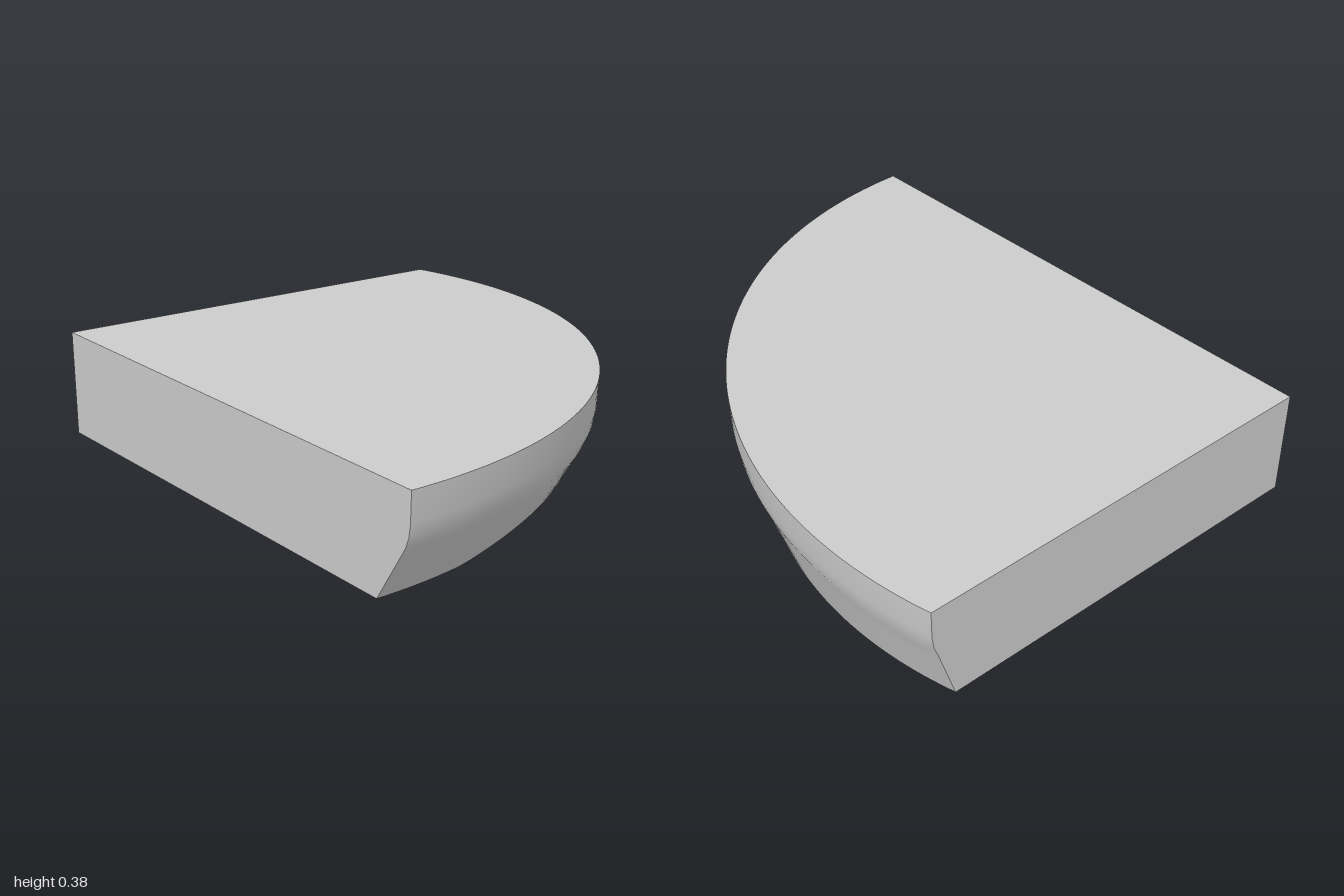
import * as THREE from 'three';
import { toCreasedNormals } from 'three/addons/utils/BufferGeometryUtils.js';

const CX = -0.81, CZ = -0.62; // centre of the rounded edge
const BACK = -1, TOP = 0.38, SEGMENTS = 72;

// Chord that cuts the underside, and the rise of the facet beyond it
const A = new THREE.Vector2(-0.43 - CX, 0.77 - CZ);
const B = new THREE.Vector2(0.64 - CX, -0.16 - CZ);
const normal = new THREE.Vector2(A.y - B.y, B.x - A.x).normalize();
const chord = normal.dot(A);
const FACET_SLOPE = 0.3;

// Radius and height pairs from the underside to the rim at one angle
function profile(angle) {
  const base = 1 / Math.hypot(Math.cos(angle) / 1.53, Math.sin(angle) / 1.46);
  const wallTop = 0.2, wallRadius = 1.597;
  const flare = (wallRadius - base) / wallTop;
  const facing = normal.x * Math.cos(angle) + normal.y * Math.sin(angle);
  const cut = facing > 0.1 ? chord / facing : Infinity;
  const inner = Math.min(base, cut);
  // Height where the facet plane meets the flared wall
  const k = FACET_SLOPE * facing;
  const y = cut < base ? (k * (base - cut)) / (1 - k * flare) : 0;
  return [
    [inner, 0],
    [base + flare * y, y],
    [base + flare * 0.14, 0.14],
    [wallRadius, wallTop],
    [1.612, 0.235],
    [1.62, 0.28],
    [1.625, TOP],
  ];
}

// One upright section: back corner, outer profile, back corner
function section(t) {
  const startAt = (r) => Math.asin((BACK - CZ) / r);
  const angleAt = (r) => THREE.MathUtils.lerp(startAt(r), Math.PI / 2, t);
  const points = profile(angleAt(1.53)).map(([r, y]) => {
    const a = angleAt(r);
    return new THREE.Vector3(CX + r * Math.cos(a), y, CZ + r * Math.sin(a));
  });
  return [new THREE.Vector3(CX, 0, BACK), ...points, new THREE.Vector3(CX, TOP, BACK)];
}

function wedgeGeometry() {
  const positions = [];
  const triangle = (a, b, c) => {
    const area = b.clone().sub(a).cross(c.clone().sub(a)).length();
    if (area > 1e-8) positions.push(...a.toArray(), ...b.toArray(), ...c.toArray());
  };
  const sections = Array.from({ length: SEGMENTS + 1 }, (_, i) => section(i / SEGMENTS));

  // Underside, curved edge and top
  for (let i = 0; i < SEGMENTS; i++) {
    const p = sections[i], q = sections[i + 1];
    for (let j = 0; j < p.length - 1; j++) {
      triangle(p[j], p[j + 1], q[j]);
      triangle(p[j + 1], q[j + 1], q[j]);
    }
  }
  // Flat back and side walls
  const first = sections[0], last = sections[SEGMENTS];
  for (let j = 1; j < first.length - 1; j++) {
    triangle(first[0], first[j + 1], first[j]);
    triangle(last[0], last[j], last[j + 1]);
  }

  const geometry = new THREE.BufferGeometry();
  geometry.setAttribute('position', new THREE.Float32BufferAttribute(positions, 3));
  return toCreasedNormals(geometry, 0.25);
}

export function createModel() {
  const group = new THREE.Group();
  group.name = 'roundedWedge';
  const body = new THREE.Mesh(wedgeGeometry(), new THREE.MeshStandardMaterial({ color: 0xcccccc }));
  body.name = 'wedgeBody';
  group.add(body);
  return group;
}
